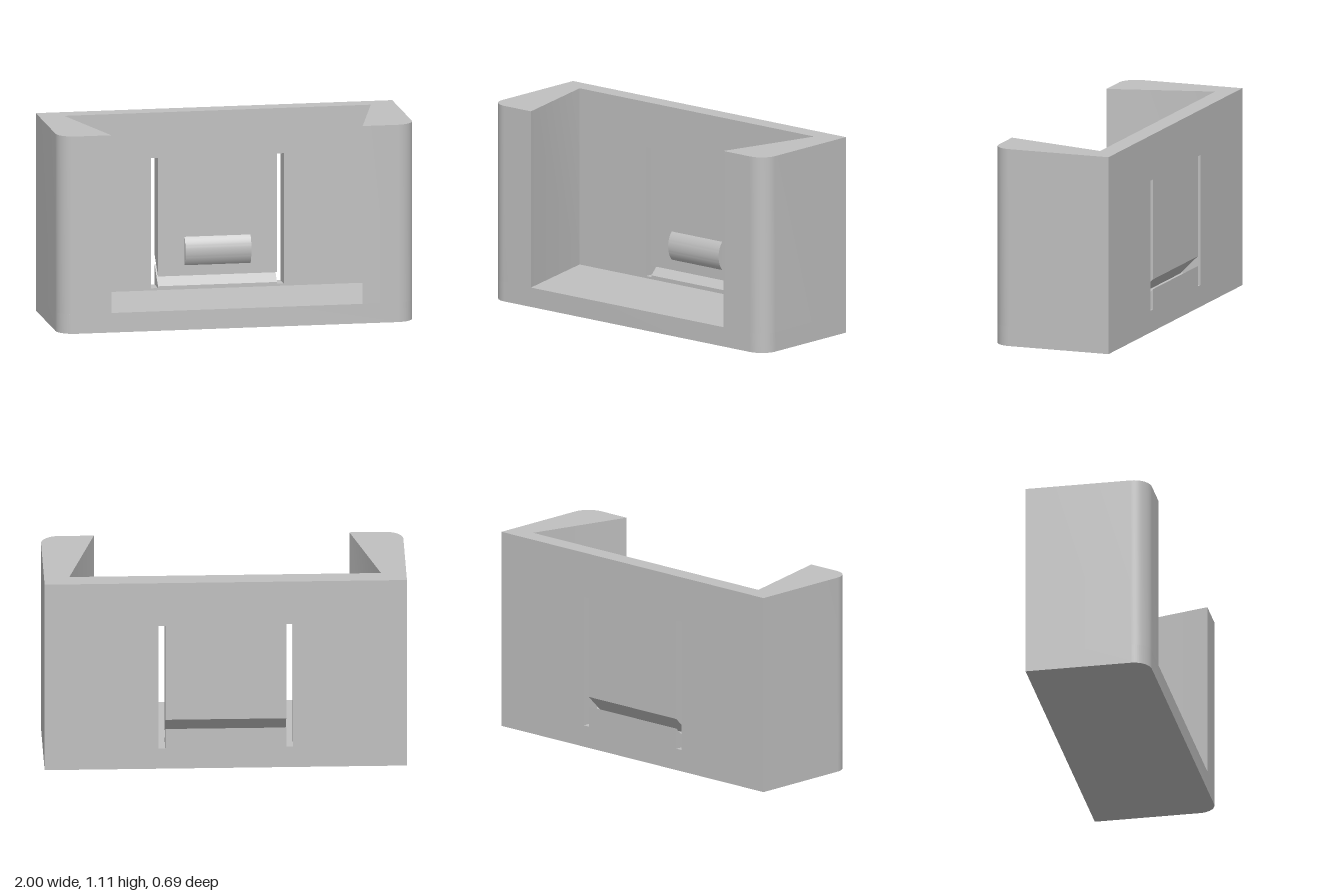
import * as THREE from 'three';
import { toCreasedNormals } from 'three/addons/utils/BufferGeometryUtils.js';

const W = 1, D = 0.345, H = 1.11;      // half width, half depth, height
const FLOOR = 0.11, WALL = -0.24;      // floor top, inner face of the back wall
const R = 0.1;                         // front corner radius

const grey = new THREE.MeshStandardMaterial({ color: 0xc0c0c0 });
grey.name = 'grey plastic';

function extrude(shape, depth) {
  return new THREE.ExtrudeGeometry(shape, { depth, bevelEnabled: false, curveSegments: 16 });
}

function part(name, geometry) {
  const mesh = new THREE.Mesh(toCreasedNormals(geometry, 0.5), grey);
  mesh.name = name;
  return mesh;
}

// Plan shape (x, -z) raised from y0 to y1
function upright(shape, y0, y1) {
  return extrude(shape, y1 - y0).rotateX(-Math.PI / 2).translate(0, y0, 0);
}

// Side profile (-z, y) swept along x, centred
function across(shape, halfWidth) {
  return extrude(shape, halfWidth * 2).rotateY(Math.PI / 2).translate(-halfWidth, 0, 0);
}

function profile(points) {
  return new THREE.Shape(points.map(([z, y]) => new THREE.Vector2(-z, y)));
}

function rect(target, x0, y0, x1, y1) {
  target.moveTo(x0, y0);
  target.lineTo(x1, y0);
  target.lineTo(x1, y1);
  target.lineTo(x0, y1);
  target.closePath();
  return target;
}

export function createModel() {
  const model = new THREE.Group();
  model.name = 'wallHolder';

  // Floor slab with rounded front corners
  const plan = new THREE.Shape();
  plan.moveTo(-W, D);
  plan.lineTo(-W, -D + R);
  plan.absarc(-W + R, -D + R, R, Math.PI, Math.PI * 1.5, false);
  plan.lineTo(W - R, -D);
  plan.absarc(W - R, -D + R, R, Math.PI * 1.5, Math.PI * 2, false);
  plan.lineTo(W, D);
  plan.closePath();
  model.add(part('floor', upright(plan, 0, FLOOR)));

  // Side posts with slanted inner faces
  for (const s of [1, -1]) {
    const post = new THREE.Shape();
    post.moveTo(s * 0.86, D);
    post.lineTo(s * 0.86, -WALL);
    post.lineTo(s * 0.705, -D);
    post.lineTo(s * (W - R), -D);
    for (let i = 1; i <= 16; i++) {
      const a = (i / 16) * Math.PI / 2;
      post.lineTo(s * (W - R + R * Math.sin(a)), -D + R - R * Math.cos(a));
    }
    post.lineTo(s * W, D);
    post.closePath();
    model.add(part(s > 0 ? 'leftPost' : 'rightPost', upright(post, FLOOR, H)));
  }

  // Back wall with the opening for the latch
  const slotTop = 0.855, slotBottom = 0.122, outer = 0.372, inner = 0.334;
  const wall = rect(new THREE.Shape(), -0.86, FLOOR, 0.86, H);
  wall.holes.push(rect(new THREE.Path(), -outer, slotBottom, outer, slotTop));
  model.add(part('backWall', extrude(wall, WALL + D).translate(0, 0, -D)));

  // Flexible latch and the sill below it, parted by a sloping cut
  const rise = WALL + D;
  model.add(part('latch', across(profile([
    [WALL, 0.187], [WALL, slotTop], [-D, slotTop], [-D, 0.187 + rise],
  ]), inner)));
  model.add(part('sill', across(profile([
    [WALL, slotBottom], [WALL, 0.132], [-D, 0.132 + rise], [-D, slotBottom],
  ]), inner)));

  // Curved catch on the latch: a circular segment
  const half = 0.08, bulge = 0.03, midY = 0.325;
  const radius = (half * half + bulge * bulge) / (2 * bulge);
  const sweep = Math.asin(half / radius);
  const arc = [];
  for (let i = 0; i <= 20; i++) {
    const a = sweep * (1 - i / 10);
    arc.push([WALL + bulge - radius + radius * Math.cos(a), midY + radius * Math.sin(a)]);
  }
  model.add(part('catch', across(profile(arc), 0.185)));

  return model;
}
